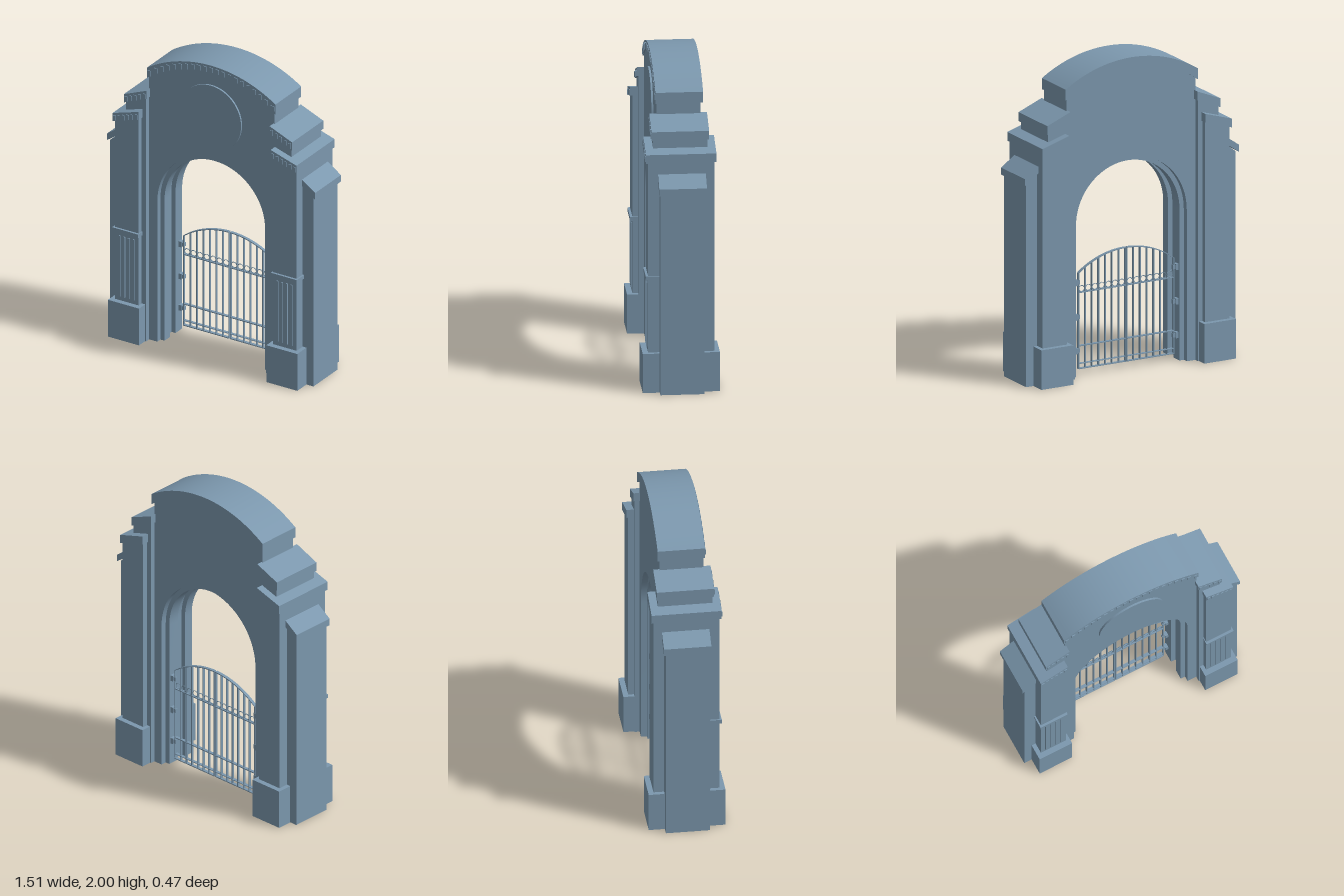
import * as THREE from 'three';
import { toCreasedNormals } from 'three/addons/utils/BufferGeometryUtils.js';

const material = new THREE.MeshStandardMaterial({ color: 0x7c98ae });

function add(parent, name, geometry, x = 0, y = 0, z = 0) {
  const mesh = new THREE.Mesh(geometry, material);
  mesh.name = name;
  mesh.position.set(x, y, z);
  parent.add(mesh);
  return mesh;
}

// Box given by its limits
function block(parent, name, x0, x1, y0, y1, z0, z1) {
  return add(parent, name, new THREE.BoxGeometry(Math.abs(x1 - x0), y1 - y0, z1 - z0),
    (x0 + x1) / 2, (y0 + y1) / 2, (z0 + z1) / 2);
}

// Outline in x/y, pushed from z0 to z1
function slab(parent, name, points, z0, z1) {
  const shape = new THREE.Shape(points.map(([x, y]) => new THREE.Vector2(x, y)));
  const geometry = new THREE.ExtrudeGeometry(shape, { depth: z1 - z0, bevelEnabled: false });
  return add(parent, name, toCreasedNormals(geometry, 0.5), 0, 0, z0);
}

// Height of a shallow arc with its crown at x = 0 and its ends at x = +-half
function arcY(x, half, yEnd, yTop) {
  const sag = yTop - yEnd;
  const r = (half * half + sag * sag) / (2 * sag);
  return yTop - r + Math.sqrt(r * r - x * x);
}

function arcPoints(x0, x1, half, yEnd, yTop, n = 28) {
  return Array.from({ length: n + 1 }, (_, i) => {
    const x = x0 + (x1 - x0) * i / n;
    return [x, arcY(x, half, yEnd, yTop)];
  });
}

// Round-headed opening, from the right foot over to the left foot
function archPoints(r, spring = 0.965, n = 36) {
  const points = [[r, 0]];
  for (let i = 0; i <= n; i++) {
    const a = Math.PI * i / n;
    points.push([r * Math.cos(a), spring + r * Math.sin(a)]);
  }
  points.push([-r, 0]);
  return points;
}

// Sloping coping between an inner and an outer x, with optional dentils on the front
function coping(parent, name, s, xIn, xOut, yIn, yOut, thick, z0, z1, dentils = 0) {
  slab(parent, name, [[s * xIn, yIn], [s * xOut, yOut], [s * xOut, yOut - thick], [s * xIn, yIn - thick]], z0, z1);
  for (let i = 0; i < dentils; i++) {
    const t = (i + 0.5) / dentils;
    const x = s * (xIn + (xOut - xIn) * t);
    const y = yIn + (yOut - yIn) * t - thick * 0.6;
    block(parent, name + 'Dentil', x - 0.009, x + 0.009, y - thick * 0.3, y + thick * 0.3, z1 - 0.007, z1 + 0.005);
  }
}

function buildCentre(parent) {
  // Wall with the arched opening
  slab(parent, 'archWall', [
    [-0.455, 0], [-0.455, 1.8], ...arcPoints(-0.455, 0.455, 0.455, 1.8, 1.945),
    [0.455, 0], ...archPoints(0.395),
  ], -0.137, 0.134);
  // Two ribs running round the inside of the opening, with a groove between
  for (const [z0, z1] of [[0.04, 0.1], [-0.1, -0.025]])
    slab(parent, 'archRib', [...archPoints(0.4), ...archPoints(0.365).reverse()], z0, z1);
  // Curved top with its row of dentils
  slab(parent, 'curvedCoping', [
    ...arcPoints(-0.467, 0.467, 0.467, 1.86, 2),
    ...arcPoints(0.467, -0.467, 0.467, 1.79, 1.945),
  ], -0.151, 0.142);
  const count = 21;
  for (let i = 0; i < count; i++) {
    const x = -0.447 + 0.894 * i / (count - 1);
    const y = arcY(x, 0.467, 1.79, 1.945) + 0.024;
    block(parent, 'curvedCopingDentil', x - 0.012, x + 0.012, y - 0.017, y + 0.017, 0.135, 0.147);
  }
  // Round plaque
  const disc = add(parent, 'roundPlaque', new THREE.CylinderGeometry(0.22, 0.22, 0.03, 64), 0, 1.645, 0.131);
  disc.rotation.x = Math.PI / 2;
}

function buildPier(parent, s) {
  const pier = new THREE.Group();
  pier.name = s > 0 ? 'leftPier' : 'rightPier';
  parent.add(pier);
  // Inner tier
  slab(pier, 'innerTier', [[s * 0.455, 0], [s * 0.6, 0], [s * 0.6, 1.62], [s * 0.455, 1.68]], -0.168, 0.168);
  coping(pier, 'innerCoping', s, 0.447, 0.611, 1.722, 1.655, 0.057, -0.176, 0.178, 5);
  // Pilaster
  slab(pier, 'pilaster', [[s * 0.487, 0], [s * 0.66, 0], [s * 0.66, 1.49], [s * 0.487, 1.545]], -0.203, 0.203);
  coping(pier, 'pilasterCoping', s, 0.48, 0.668, 1.585, 1.527, 0.056, -0.216, 0.217, 6);
  block(pier, 'pilasterBand', s * 0.482, s * 0.67, 0.72, 0.745, 0.1, 0.218);
  for (let i = 0; i < 4; i++) {
    const x = s * (0.522 + i * 0.034);
    block(pier, 'pilasterReed', x - 0.006, x + 0.006, 0.28, 0.695, 0.195, 0.21);
  }
  block(pier, 'plinth', s * 0.462, s * 0.687, 0, 0.252, -0.236, 0.238);
  // Outer wing
  slab(pier, 'wing', [[s * 0.6, 0], [s * 0.738, 0], [s * 0.738, 1.29], [s * 0.66, 1.35], [s * 0.6, 1.35]], -0.137, 0.134);
  coping(pier, 'wingCoping', s, 0.655, 0.755, 1.402, 1.332, 0.045, -0.151, 0.142);
}

function buildGate(parent, s) {
  const leaf = new THREE.Group();
  leaf.name = s > 0 ? 'leftGateLeaf' : 'rightGateLeaf';
  leaf.position.z = -0.075;
  parent.add(leaf);
  const inner = 0.005, outer = 0.335, bays = 7;
  const pitch = (outer - inner) / bays;
  // Upright bars
  for (let i = 0; i <= bays; i++) {
    const x = s * (inner + pitch * i);
    block(leaf, 'gateBar', x - 0.003, x + 0.003, 0.042, arcY(x, outer, 0.655, 0.77), -0.008, 0.008);
  }
  // Rings between the bars
  const ring = new THREE.TorusGeometry(0.019, 0.0025, 6, 20);
  for (let i = 0; i < bays; i++) add(leaf, 'gateRing', ring, s * (inner + pitch * (i + 0.5)), 0.552, 0);
  // Rails
  for (const [y, h] of [[0.045, 0.003], [0.077, 0.002], [0.19, 0.003], [0.53, 0.003]])
    block(leaf, 'gateRail', s * inner, s * outer, y - h, y + h, -0.01, 0.01);
  slab(leaf, 'gateTopRail', [
    ...arcPoints(s * inner, s * outer, outer, 0.658, 0.773, 14),
    ...arcPoints(s * outer, s * inner, outer, 0.652, 0.767, 14),
  ], -0.01, 0.01);
  // Hinges fixed to the rib
  for (const y of [0.16, 0.375, 0.595]) {
    block(leaf, 'hingeArm', s * 0.328, s * 0.37, y - 0.013, y + 0.013, -0.01, 0.01);
    block(leaf, 'hingeKnuckle', s * 0.345, s * 0.37, y - 0.019, y + 0.019, -0.015, 0.015);
  }
}

export function createModel() {
  const model = new THREE.Group();
  model.name = 'archedGateway';
  buildCentre(model);
  for (const s of [1, -1]) {
    buildPier(model, s);
    buildGate(model, s);
  }
  return model;
}
